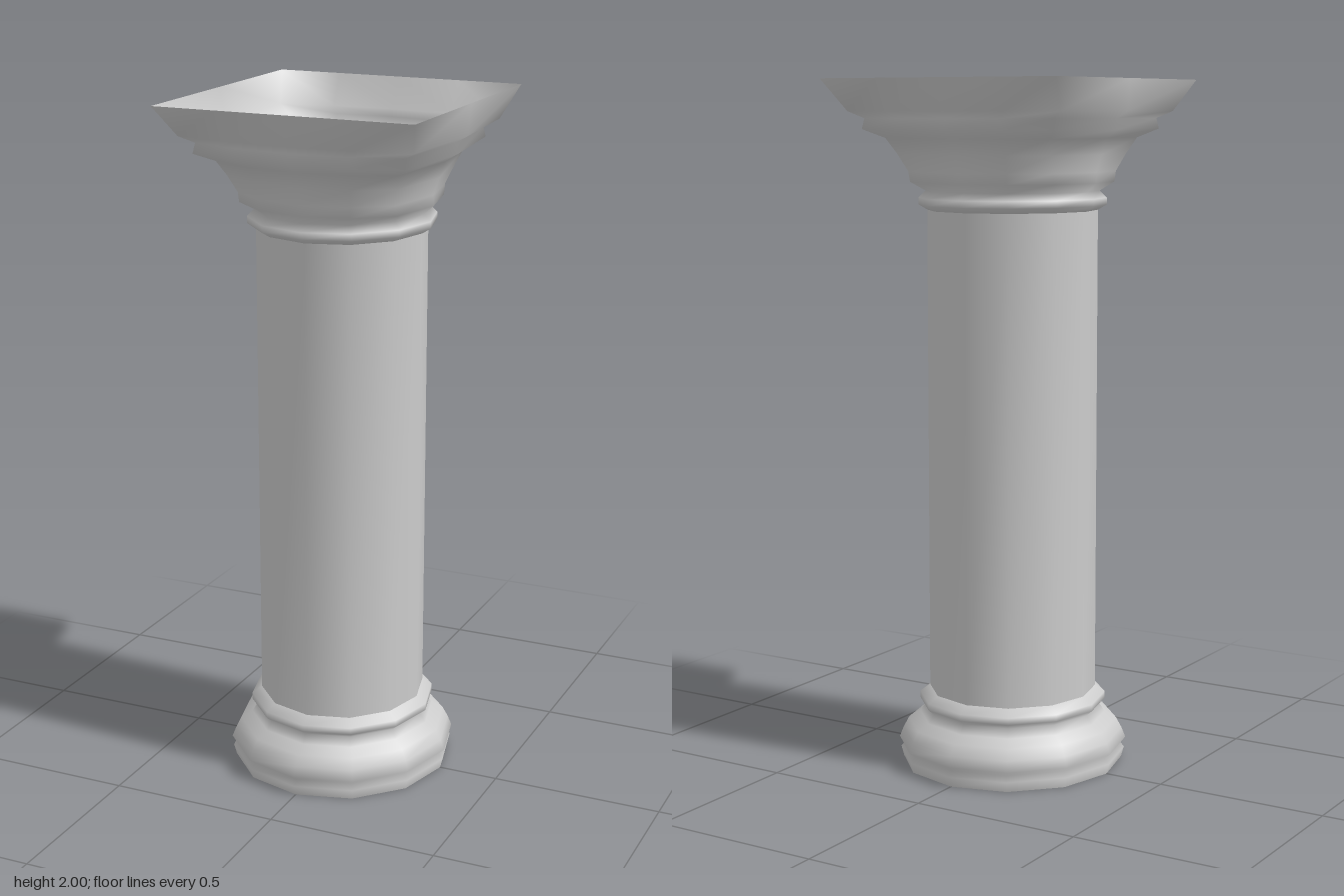
import * as THREE from 'three';

const SIDES = 12;
const material = new THREE.MeshStandardMaterial({ color: 0xcccccc, side: THREE.DoubleSide });

// One point of a ring that blends from an oval (square = 0) to a rectangle (square = 1).
function ringPoint(k, y, rx, rz, square) {
  const angle = (k / SIDES) * Math.PI * 2;
  const c = Math.cos(angle), s = Math.sin(angle);
  // The points at 30 degrees become the corners, those at 60 degrees stay on the front and back edges.
  const nearZero = (v) => Math.abs(v) < 1e-6;
  const qx = nearZero(c) ? 0 : Math.sign(c) * (Math.abs(c) > 0.6 ? 1 : 0.5);
  const qz = nearZero(s) ? 0 : Math.sign(s);
  return [
    rx * THREE.MathUtils.lerp(c, qx, square ** 3),
    y,
    rz * THREE.MathUtils.lerp(s, qz, square),
  ];
}

// Open smooth skin through rings of [height, half width, half depth, squareness].
function skin(name, rings) {
  const positions = [], index = [];
  rings.forEach(([y, rx, rz = rx * 1.04, square = 0], j) => {
    for (let k = 0; k < SIDES; k++) {
      positions.push(...ringPoint(k, y, rx, rz, square));
      if (j === rings.length - 1) continue;
      const a = j * SIDES + k, b = j * SIDES + (k + 1) % SIDES;
      index.push(a, a + SIDES, b, b, a + SIDES, b + SIDES);
    }
  });
  const geometry = new THREE.BufferGeometry();
  geometry.setAttribute('position', new THREE.Float32BufferAttribute(positions, 3));
  geometry.setIndex(index);
  geometry.computeVertexNormals();
  const mesh = new THREE.Mesh(geometry, material);
  mesh.name = name;
  return mesh;
}

export function createModel() {
  const column = new THREE.Group();
  column.name = 'column';

  // Moulded round foot, open underneath
  column.add(skin('base', [
    [0, 0.322], [0.03, 0.33], [0.045, 0.315], [0.06, 0.334], [0.09, 0.322], [0.12, 0.306],
    [0.14, 0.272], [0.165, 0.255], [0.18, 0.272], [0.2, 0.272], [0.22, 0.243],
  ]));

  // Plain hollow shaft
  column.add(skin('shaft', [[0.22, 0.243], [1.63, 0.243]]));

  // Neck ring and mouldings that flare into an open rectangular top
  column.add(skin('capital', [
    [1.63, 0.243], [1.645, 0.268], [1.665, 0.268], [1.685, 0.248],
    [1.71, 0.276, 0.285, 0.2], [1.74, 0.275, 0.283, 0.27],
    [1.79, 0.292, 0.3, 0.4], [1.835, 0.306, 0.316, 0.55],
    [1.86, 0.346, 0.356, 0.68], [1.89, 0.338, 0.346, 0.7],
    [1.91, 0.373, 0.362, 0.78], [2, 0.382, 0.402, 1],
  ]));
  return column;
}
